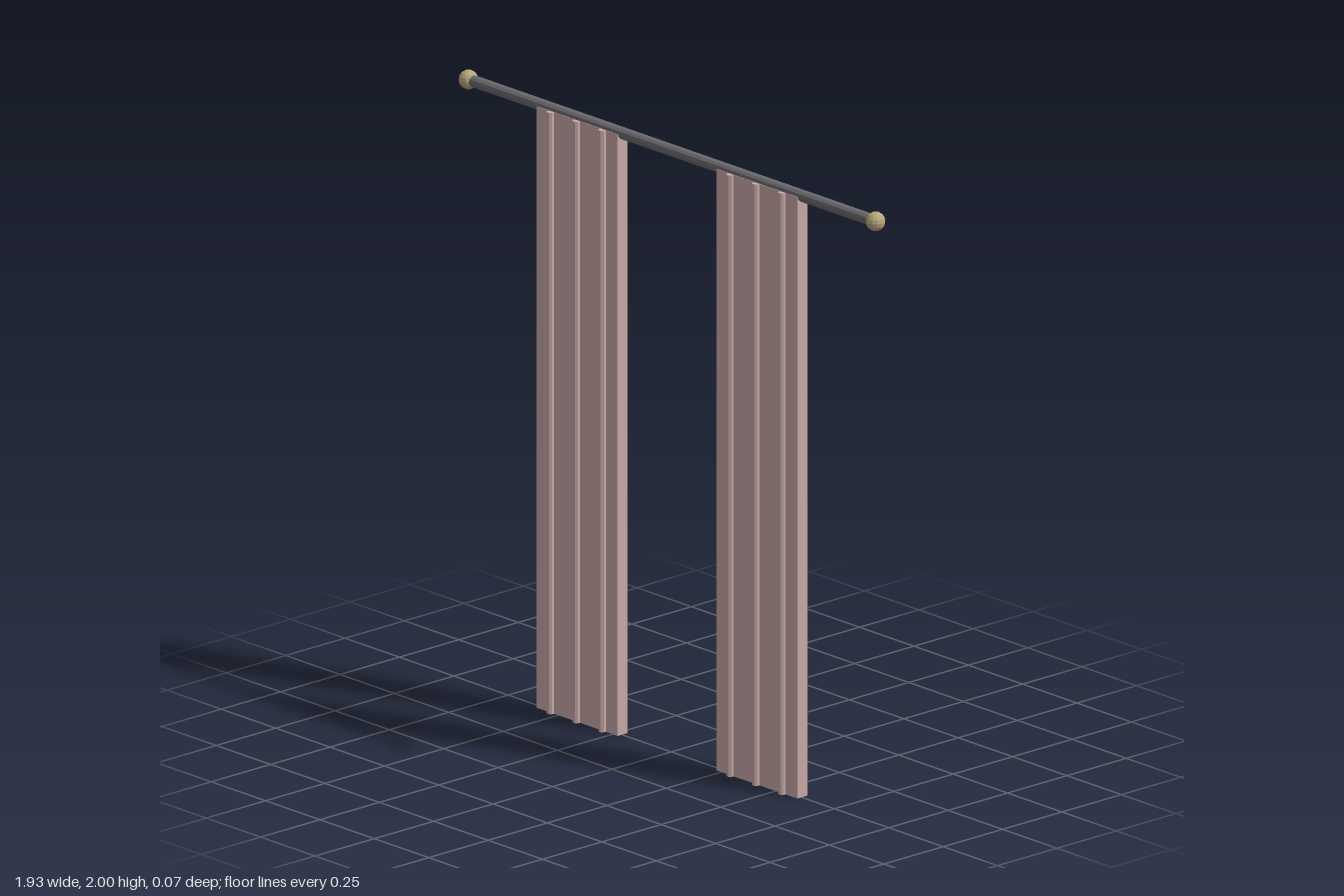
import * as THREE from 'three';

const ROD_Y = 1.97, ROD_Z = -0.003;

function material(color) {
  return new THREE.MeshStandardMaterial({ color, flatShading: true });
}

export function createModel() {
  const model = new THREE.Group();
  model.name = 'curtains';
  const cloth = material(0xc9a9a9);
  const metal = material(0x6b6b70);
  const brass = material(0xb5a57a);

  const add = (parent, name, geometry, mat, x, y, z) => {
    const mesh = new THREE.Mesh(geometry, mat);
    mesh.name = name;
    mesh.position.set(x, y, z);
    parent.add(mesh);
    return mesh;
  };

  // Horizontal rod
  const rod = new THREE.CylinderGeometry(0.019, 0.019, 1.872, 12).rotateZ(Math.PI / 2);
  add(model, 'rod', rod, metal, 0, ROD_Y, ROD_Z);

  for (const side of [-1, 1]) {
    const label = side > 0 ? 'left' : 'right';

    // Ball at the rod end
    const ball = new THREE.SphereGeometry(0.031, 12, 8);
    add(model, label + 'Finial', ball, brass, side * 0.936, ROD_Y, ROD_Z);

    // Flat cloth panel with three vertical folds on its front
    const curtain = new THREE.Group();
    curtain.name = label + 'Curtain';
    curtain.position.x = side * 0.413;
    model.add(curtain);
    add(curtain, 'panel', new THREE.BoxGeometry(0.372, ROD_Y, 0.042), cloth, 0, ROD_Y / 2, -0.003);
    for (const i of [-1, 0, 1]) {
      const fold = new THREE.CylinderGeometry(0.0135, 0.0135, ROD_Y, 8).rotateY(Math.PI / 8);
      add(curtain, 'fold', fold, cloth, i * 0.119, ROD_Y / 2, 0.0205);
    }
  }
  return model;
}
